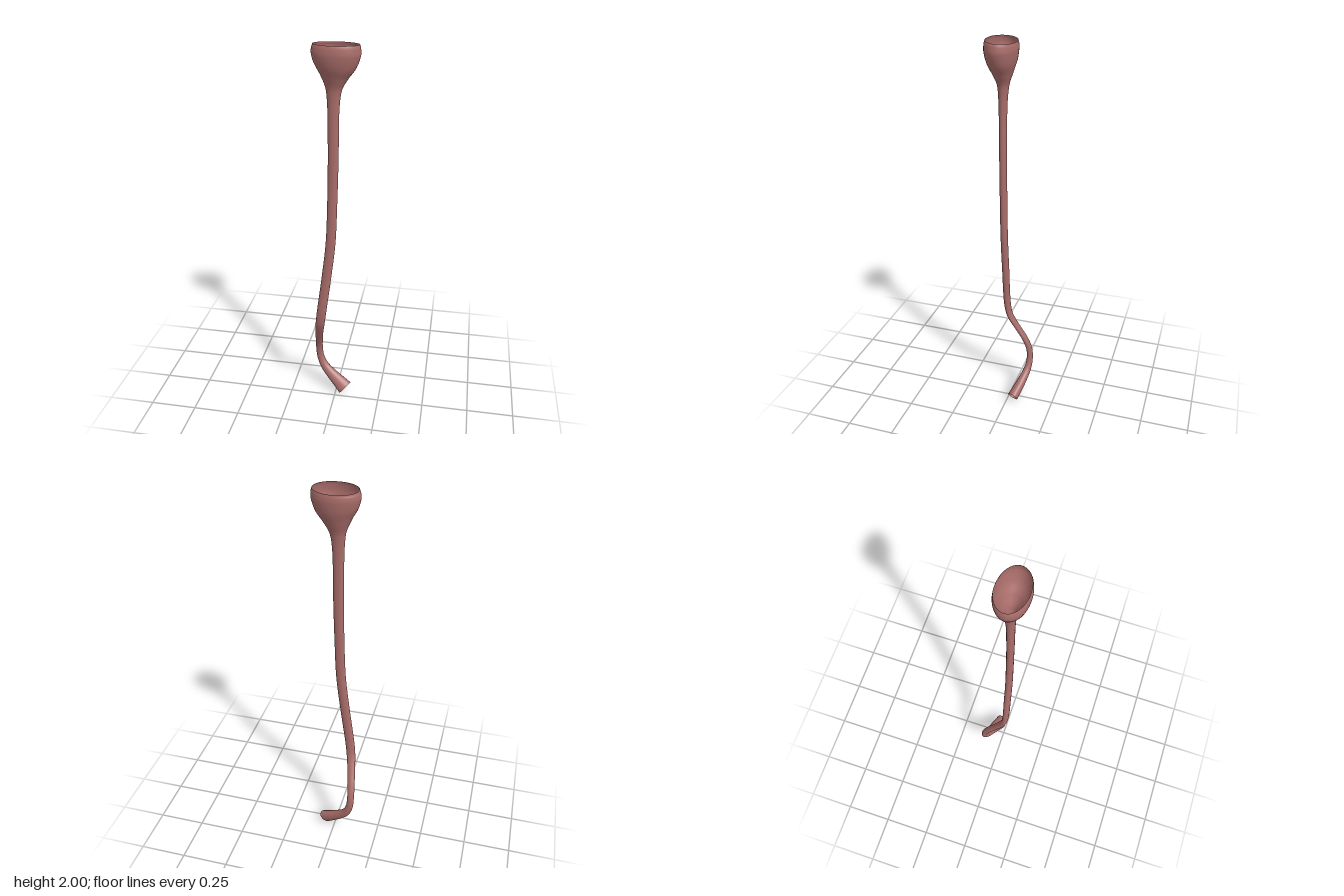
import * as THREE from 'three';

const SIDES = 40, RINGS = 180;

// Sections from the lower mouth to the upper cup: x, y, z of the centre, then half width and half depth
const sections = [
  [0.055, 0.035, -0.036, 0.044, 0.029],
  [0.015, 0.066, -0.052, 0.037, 0.027],
  [-0.03, 0.102, -0.068, 0.030, 0.024],
  [-0.072, 0.145, -0.083, 0.024, 0.020],
  [-0.096, 0.20, -0.090, 0.020, 0.017],
  [-0.102, 0.27, -0.084, 0.019, 0.016],
  [-0.097, 0.34, -0.057, 0.020, 0.015],
  [-0.088, 0.41, -0.018, 0.021, 0.014],
  [-0.076, 0.49, 0.021, 0.024, 0.015],
  [-0.067, 0.56, 0.032, 0.025, 0.017],
  [-0.036, 0.80, 0.033, 0.025, 0.018],
  [-0.014, 1.00, 0.033, 0.025, 0.018],
  [-0.005, 1.22, 0.033, 0.025, 0.018],
  [0, 1.45, 0.033, 0.026, 0.018],
  [0.001, 1.69, 0.032, 0.028, 0.020],
  [0.003, 1.79, 0.030, 0.038, 0.028],
  [0.007, 1.85, 0.030, 0.066, 0.049],
  [0.011, 1.90, 0.032, 0.097, 0.068],
  [0.013, 1.95, 0.034, 0.113, 0.077],
  [0.014, 1.98, 0.034, 0.112, 0.076],
  [0.014, 1.996, 0.033, 0.107, 0.072],
];

// Sweeps an ellipse of changing size along the centre line, open at both ends
function sweep() {
  const path = new THREE.CatmullRomCurve3(sections.map(([x, y, z]) => new THREE.Vector3(x, y, z)));
  const sizes = new THREE.CatmullRomCurve3(sections.map(([, , , w, d]) => new THREE.Vector3(w, d, 0)),
    false, 'catmullrom', 0.5);
  const positions = [], indices = [];
  for (let i = 0; i <= RINGS; i++) {
    const t = i / RINGS;
    const centre = path.getPoint(t), along = path.getTangent(t), size = sizes.getPoint(t);
    const side = new THREE.Vector3(1, 0, 0).addScaledVector(along, -along.x).normalize();
    const depth = along.clone().cross(side);
    for (let j = 0; j < SIDES; j++) {
      const a = j / SIDES * Math.PI * 2;
      const p = centre.clone()
        .addScaledVector(side, Math.cos(a) * size.x)
        .addScaledVector(depth, Math.sin(a) * size.y);
      positions.push(p.x, Math.min(2, Math.max(0, p.y)), p.z);
      if (i < RINGS) {
        const k = i * SIDES + j, n = i * SIDES + (j + 1) % SIDES;
        indices.push(k, n, k + SIDES, n, n + SIDES, k + SIDES);
      }
    }
  }
  const geometry = new THREE.BufferGeometry();
  geometry.setAttribute('position', new THREE.Float32BufferAttribute(positions, 3));
  geometry.setIndex(indices);
  geometry.computeVertexNormals();
  return geometry;
}

export function createModel() {
  const group = new THREE.Group();
  group.name = 'flaredTube';
  const flesh = new THREE.MeshStandardMaterial({ color: 0xa96d6a, side: THREE.DoubleSide });
  flesh.name = 'dusty pink';
  // One hollow skin: curved lower mouth, long stem and open cup
  const tube = new THREE.Mesh(sweep(), flesh);
  tube.name = 'hollowTube';
  group.add(tube);
  return group;
}
